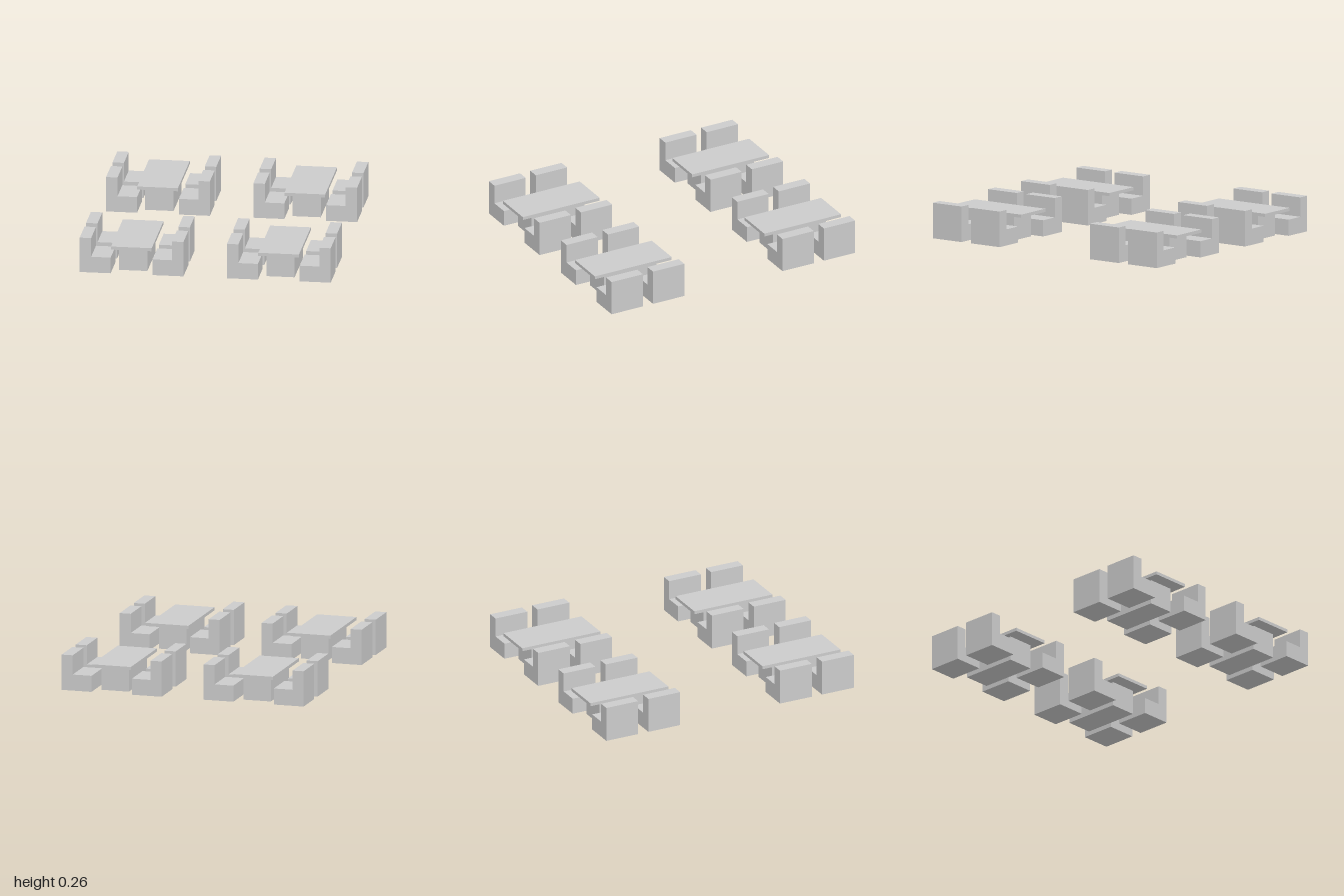
import * as THREE from 'three';

const material = new THREE.MeshStandardMaterial({ color: 0xcccccc, flatShading: true });

// Distances from the middle of the whole layout
const TABLE_X = 0.528, TABLE_Z = 0.688, CHAIR_Z = 0.694;
const CHAIR_DEPTH = 0.222, CHAIR_WIDTH = 0.254;

function box(name, w, h, d, y) {
  const mesh = new THREE.Mesh(new THREE.BoxGeometry(w, h, d), material);
  mesh.name = name;
  mesh.position.y = y + h / 2;
  return mesh;
}

// L-shaped side profile: seat edge at x = 0, backrest towards +x
function chairGeometry() {
  const profile = new THREE.Shape([
    [0, 0], [CHAIR_DEPTH, 0], [CHAIR_DEPTH, 0.257],
    [CHAIR_DEPTH - 0.082, 0.257], [CHAIR_DEPTH - 0.082, 0.117], [0, 0.117],
  ].map(([x, y]) => new THREE.Vector2(x, y)));
  return new THREE.ExtrudeGeometry(profile, { depth: CHAIR_WIDTH, bevelEnabled: false })
    .translate(0, 0, -CHAIR_WIDTH / 2);
}

export function createModel() {
  const model = new THREE.Group();
  model.name = 'diningSets';
  const chairGeo = chairGeometry();

  for (const sx of [-1, 1]) {
    for (const sz of [-1, 1]) {
      const set = new THREE.Group();
      set.name = 'diningSet';
      set.position.set(sx * TABLE_X, 0, sz * TABLE_Z);

      // Table: solid pedestal and thin top
      const table = new THREE.Group();
      table.name = 'table';
      table.add(box('tableBase', 0.203, 0.181, 0.43, 0));
      table.add(box('tableTop', 0.292, 0.023, 0.624, 0.181));
      set.add(table);

      // Two chairs on each long side, facing the table
      for (const side of [-1, 1]) {
        for (const row of [-1, 1]) {
          const chair = new THREE.Mesh(chairGeo, material);
          chair.name = 'chair';
          chair.rotation.y = side < 0 ? Math.PI : 0;
          chair.position.set(side * 0.15, 0, sz * (CHAIR_Z - TABLE_Z) + row * 0.168);
          set.add(chair);
        }
      }
      model.add(set);
    }
  }
  return model;
}
